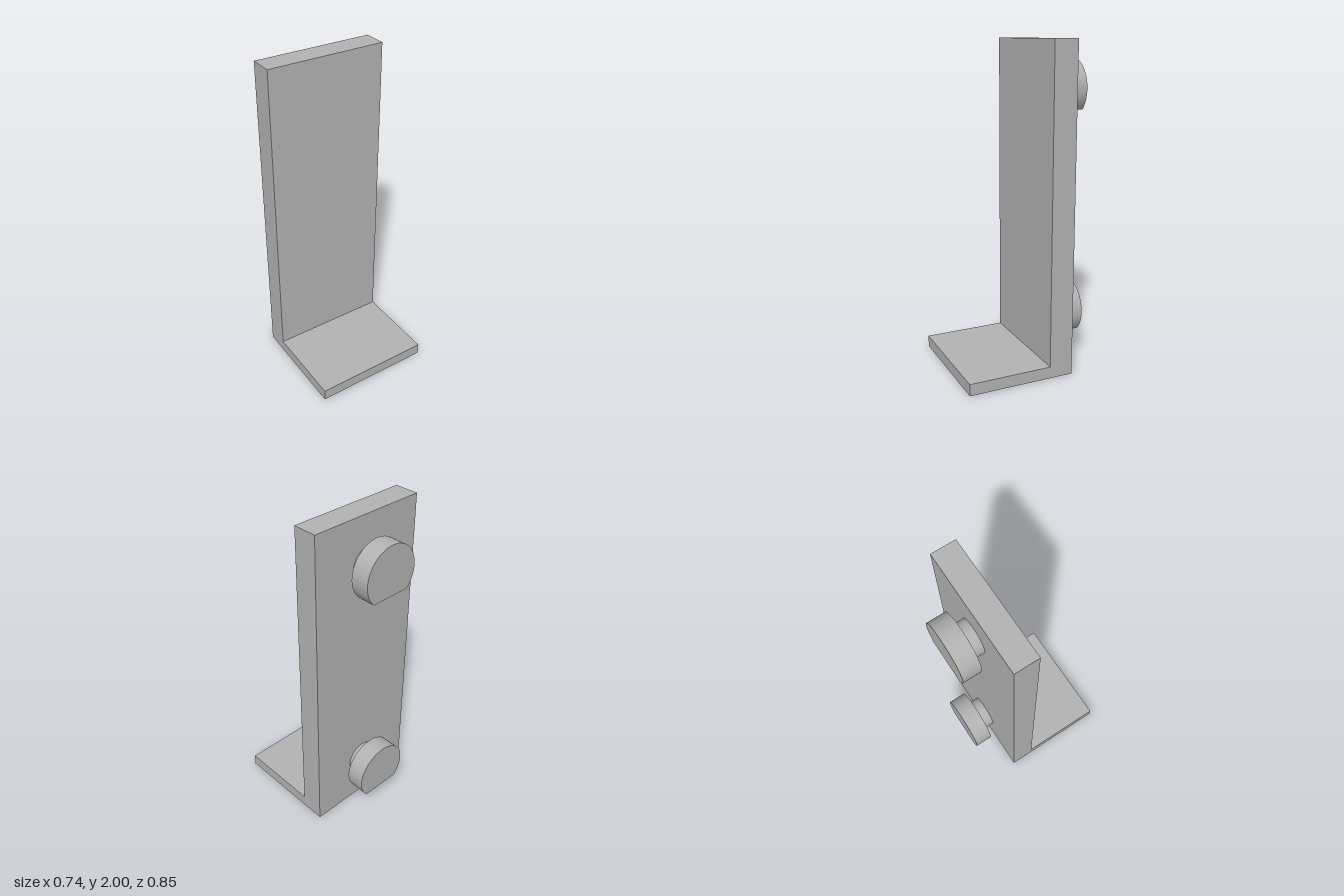
import * as THREE from 'three';
import { toCreasedNormals } from 'three/addons/utils/BufferGeometryUtils.js';

const WIDTH = 0.74;
const BACK = -0.246; // rear face of the upright plate
const STEP = -0.31;  // where each peg widens into its head
const END = -0.423;  // rear face of the heads

// Teardrop prism: a round top whose sides meet in a 90 degree point below
function teardrop(radius, zBack, zFront) {
  const shape = new THREE.Shape();
  shape.moveTo(0, -radius * Math.SQRT2);
  shape.absarc(0, 0, radius, -Math.PI / 4, Math.PI * 1.25, false);
  shape.closePath();
  const geometry = new THREE.ExtrudeGeometry(shape, {
    depth: zFront - zBack, bevelEnabled: false, curveSegments: 48,
  });
  geometry.translate(0, 0, zBack);
  return toCreasedNormals(geometry, 0.5);
}

export function createModel() {
  const model = new THREE.Group();
  model.name = 'wallBracket';
  const grey = new THREE.MeshStandardMaterial({ color: 0xb2b2b2 });
  grey.name = 'grey';

  const add = (parent, name, geometry) => {
    const mesh = new THREE.Mesh(geometry, grey);
    mesh.name = name;
    parent.add(mesh);
  };

  // L-shaped bracket: side profile (z, y) extruded across the width
  const profile = new THREE.Shape([
    [BACK, 0], [0.423, 0], [0.423, 0.073], [-0.098, 0.073], [-0.098, 2], [BACK, 2],
  ].map(([z, y]) => new THREE.Vector2(z, y)));
  const bracket = new THREE.ExtrudeGeometry(profile, { depth: WIDTH, bevelEnabled: false });
  bracket.rotateY(-Math.PI / 2);
  bracket.translate(WIDTH / 2, 0, 0);
  add(model, 'bracket', bracket);

  // Two mounting pegs on the back, each a thin stem with a wider head
  const stem = teardrop(0.104, STEP, BACK);
  const head = teardrop(0.178, END, STEP);
  for (const [name, y] of [['lowerPeg', 0.299], ['upperPeg', 1.707]]) {
    const peg = new THREE.Group();
    peg.name = name;
    peg.position.y = y;
    add(peg, 'stem', stem);
    add(peg, 'head', head);
    model.add(peg);
  }
  return model;
}
